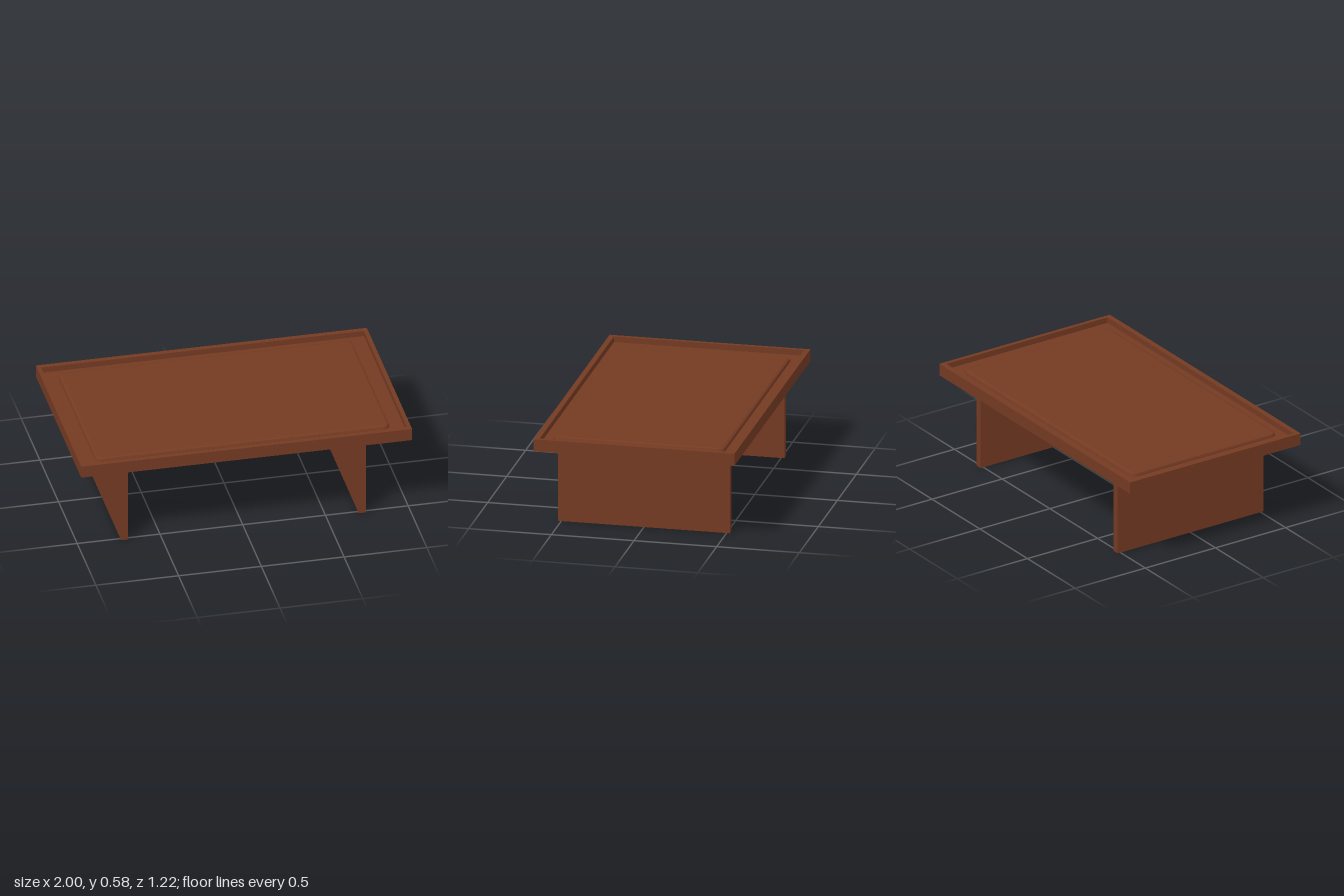
import * as THREE from 'three';

// Rounded rectangle outline centred on the origin
function roundedRect(target, w, d, r) {
  const x = w / 2, y = d / 2;
  target.moveTo(-x + r, -y);
  target.lineTo(x - r, -y);
  target.quadraticCurveTo(x, -y, x, -y + r);
  target.lineTo(x, y - r);
  target.quadraticCurveTo(x, y, x - r, y);
  target.lineTo(-x + r, y);
  target.quadraticCurveTo(-x, y, -x, y - r);
  target.lineTo(-x, -y + r);
  target.quadraticCurveTo(-x, -y, -x + r, -y);
  return target;
}

// Square-cornered rectangle outline
function rect(target, w, d) {
  target.moveTo(-w / 2, -d / 2);
  target.lineTo(w / 2, -d / 2);
  target.lineTo(w / 2, d / 2);
  target.lineTo(-w / 2, d / 2);
  target.closePath();
  return target;
}

export function createModel() {
  const table = new THREE.Group();
  table.name = 'coffeeTable';
  const wood = new THREE.MeshStandardMaterial({ color: 0x743a22 });
  wood.name = 'brown wood';

  const W = 2, D = 1.215, bottom = 0.51, floor = 0.55, top = 0.585;

  function add(name, geometry, x, y, z) {
    const mesh = new THREE.Mesh(geometry, wood);
    mesh.name = name;
    mesh.position.set(x, y, z);
    table.add(mesh);
    return mesh;
  }

  // Slab under the recessed surface
  add('tabletopSlab', new THREE.BoxGeometry(W, floor - bottom, D), 0, (bottom + floor) / 2, 0);

  // Thin raised border around the top
  const border = rect(new THREE.Shape(), W, D);
  border.holes.push(rect(new THREE.Path(), W - 0.05, D - 0.065));
  const rim = new THREE.ExtrudeGeometry(border, { depth: top - floor, bevelEnabled: false });
  rim.rotateX(-Math.PI / 2);
  add('tabletopRim', rim, 0, floor, 0);

  // Slightly raised centre panel with sloped edges
  const bevel = 0.018;
  const outline = roundedRect(new THREE.Shape(), 1.78 - 2 * bevel, 1.04 - 2 * bevel, 0.03);
  const panel = new THREE.ExtrudeGeometry(outline, {
    depth: 0.004, bevelThickness: bevel, bevelSize: bevel, bevelSegments: 2, curveSegments: 5,
  });
  panel.rotateX(-Math.PI / 2);
  add('centrePanel', panel, 0, floor, 0);

  // Two full-depth board legs
  for (const [name, side] of [['leftLeg', 1], ['rightLeg', -1]]) {
    add(name, new THREE.BoxGeometry(0.043, bottom, 1.04), side * 0.718, bottom / 2, 0);
  }

  return table;
}
